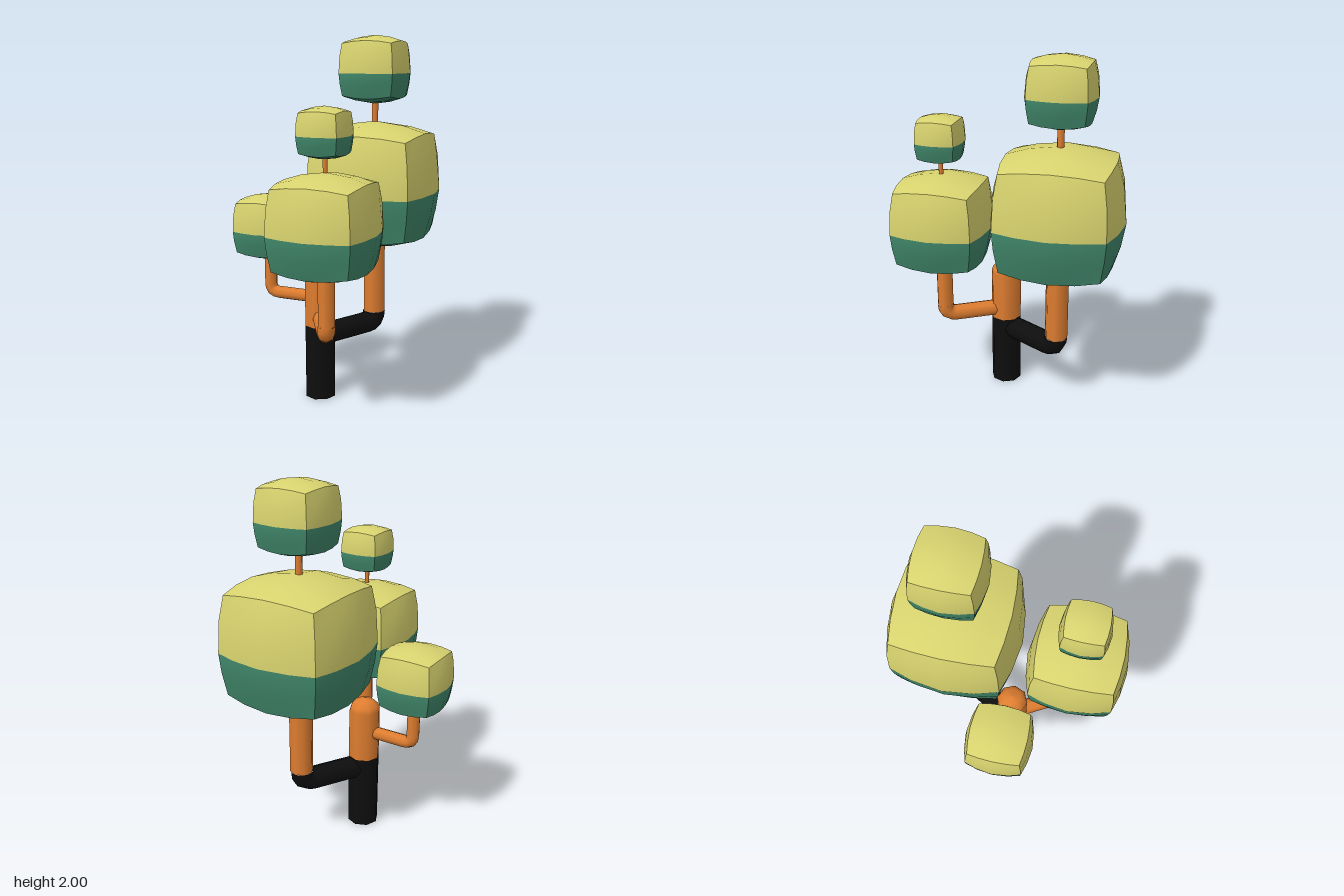
import * as THREE from 'three';

const mat = (name, color) => {
  const m = new THREE.MeshStandardMaterial({ color });
  m.name = name;
  return m;
};

export function createModel() {
  const leafLight = mat('leafYellow', 0xd9d46f);
  const leafDark = mat('leafGreen', 0x40866a);
  const bark = mat('barkOrange', 0xde7d30);
  const barkDark = mat('barkBlack', 0x0e0e0e);

  const model = new THREE.Group();
  model.name = 'tree';
  const add = (name, geometry, material, x = 0, y = 0, z = 0) => {
    const mesh = new THREE.Mesh(geometry, material);
    mesh.name = name;
    mesh.position.set(x, y, z);
    model.add(mesh);
    return mesh;
  };

  // Bulging cube standing on a diagonal; upper part light, lower part dark.
  // h is the half height from centre to the peak of the top face.
  const crown = (name, x, y, z, h) => {
    const geo = new THREE.BoxGeometry(2, 2, 2, 4, 4, 4);
    const pos = geo.attributes.position;
    const p = new THREE.Vector3();
    for (let i = 0; i < pos.count; i++) {
      p.fromBufferAttribute(pos, i);
      const middle = Math.abs(p.y) < 0.01;
      p.multiplyScalar(0.414).addScaledVector(p.clone().normalize(), 0.586);
      if (middle) p.y = -0.1;
      pos.setXYZ(i, p.x * h, p.y * h, p.z * h);
    }
    geo.computeVertexNormals();
    // Box sides in order: +x, -x, top, bottom, +z, -z, 96 indices each
    geo.clearGroups();
    for (let side = 0; side < 6; side++) {
      geo.addGroup(side * 96, 48, side === 3 ? 1 : 0);
      geo.addGroup(side * 96 + 48, 48, side === 2 ? 0 : 1);
    }
    add(name, geo, [leafLight, leafDark], x, y, z).rotation.y = Math.PI / 4 - 0.015;
  };

  const post = (name, x, z, y0, y1, r, material) =>
    add(name, new THREE.CylinderGeometry(r, r, y1 - y0, 8), material, x, (y0 + y1) / 2, z);

  // Trunk with a domed stub above the dark base
  const tx = -0.187, tz = -0.078, tr = 0.0875;
  post('trunkBase', tx, tz, 0, 0.42, tr, barkDark);
  const dome = [[tr, 0.42], [tr, 0.7], [0.078, 0.73], [0.05, 0.757], [0, 0.77]];
  add('trunkTop', new THREE.LatheGeometry(dome.map(([r, y]) => new THREE.Vector2(r, y)), 8), bark, tx, 0, tz);

  // Limb leaving the trunk level at height y, then turning upwards under a crown
  const limb = (name, x, y, z, r, bend, lowMaterial, top) => {
    const start = new THREE.Vector3(tx, y, tz);
    const corner = new THREE.Vector3(x, y, z);
    const before = corner.clone().addScaledVector(corner.clone().sub(start).normalize(), -bend);
    const after = new THREE.Vector3(x, y + bend, z);
    const path = new THREE.CurvePath();
    path.add(new THREE.LineCurve3(start, before));
    path.add(new THREE.QuadraticBezierCurve3(before, corner, after));
    add(name + 'Bend', new THREE.TubeGeometry(path, 16, r, 8), lowMaterial);
    post(name + 'Post', x, z, y + bend, top, r, bark);
  };
  limb('largeLimb', 0.193, 0.355, -0.177, 0.064, 0.065, barkDark, 1.1);
  limb('mediumLimb', -0.287, 0.475, 0.272, 0.047, 0.06, bark, 1.0);
  limb('smallLimb', -0.397, 0.575, -0.298, 0.036, 0.05, bark, 0.93);

  // Thin stems carrying the topmost crowns
  post('largeStem', 0.193, -0.177, 1.45, 1.75, 0.019, bark);
  post('mediumStem', -0.287, 0.272, 1.25, 1.48, 0.013, bark);

  // Crowns
  crown('largeCrown', 0.195, 1.175, -0.178, 0.355);
  crown('largeTopCrown', 0.194, 1.813, -0.179, 0.187);
  crown('mediumCrown', -0.287, 1.058, 0.271, 0.272);
  crown('mediumTopCrown', -0.287, 1.525, 0.271, 0.13);
  crown('smallCrown', -0.397, 0.958, -0.3, 0.182);

  return model;
}
